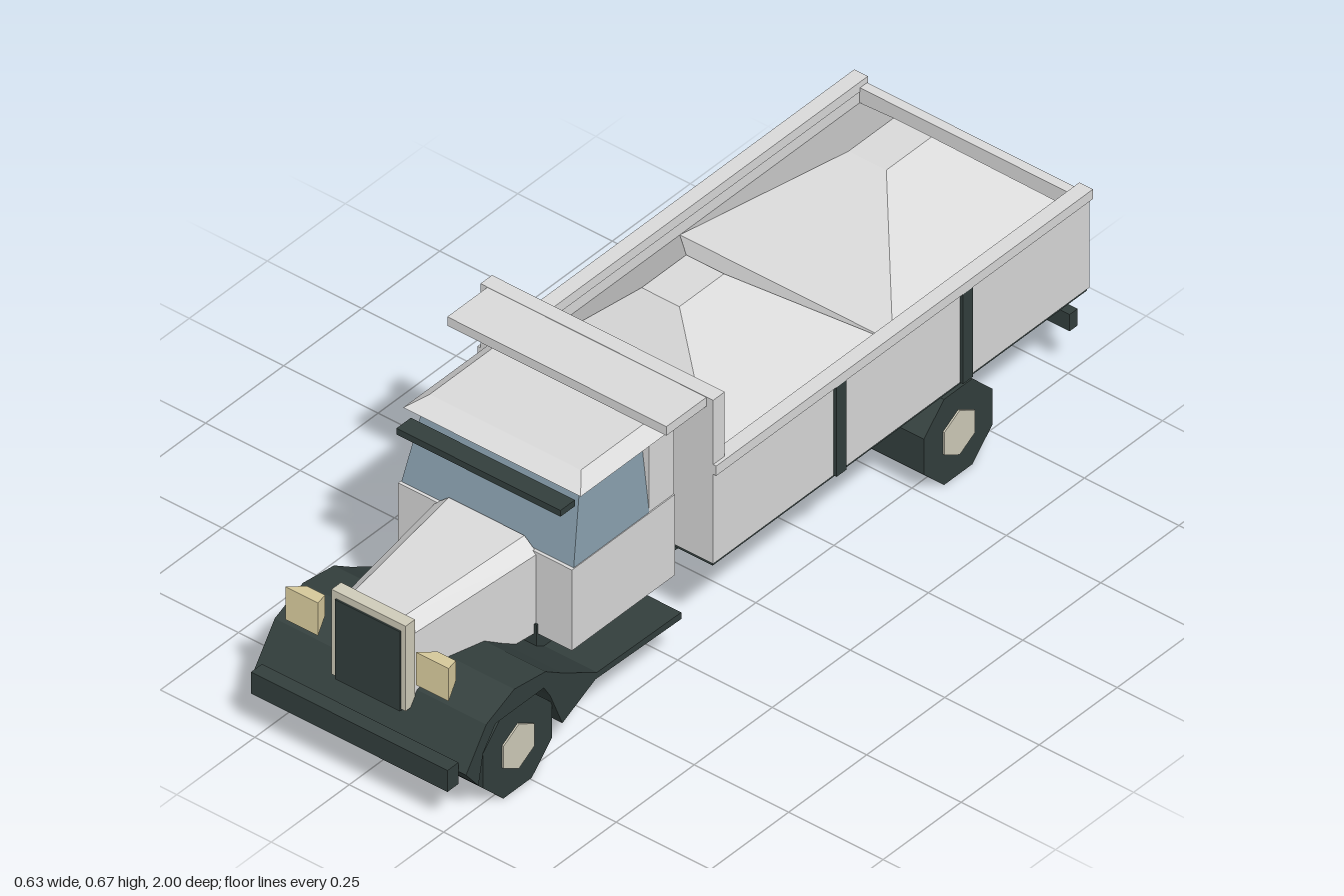
import * as THREE from 'three';

const mat = (name, color) => {
  const m = new THREE.MeshStandardMaterial({ color });
  m.name = name;
  return m;
};

// Solid between two matching loops, counterclockwise as seen from beyond loop b
function loft(a, b) {
  const pos = [];
  const tri = (...p) => p.forEach((v) => pos.push(...v));
  const n = a.length;
  for (let i = 0; i < n; i++) {
    const j = (i + 1) % n;
    tri(a[i], a[j], b[j]);
    tri(a[i], b[j], b[i]);
  }
  for (let i = 1; i < n - 1; i++) {
    tri(a[0], a[i + 1], a[i]);
    tri(b[0], b[i], b[i + 1]);
  }
  const g = new THREE.BufferGeometry();
  g.setAttribute('position', new THREE.Float32BufferAttribute(pos, 3));
  g.computeVertexNormals();
  return g;
}

// Horizontal rectangle at height y, half width w, from zBack to zFront
const level = (y, w, zBack, zFront) =>
  [[-w, y, zFront], [w, y, zFront], [w, y, zBack], [-w, y, zBack]];

export function createModel() {
  const truck = new THREE.Group();
  truck.name = 'dumpTruck';
  const paint = mat('light grey paint', 0xdadada);
  const dark = mat('dark trim', 0x333f3d);
  const glass = mat('blue glass', 0x879dab);
  const cream = mat('lamp cream', 0xe2d4a4);
  const metal = mat('pale metal', 0xd0ccba);

  const add = (name, geo, material) => {
    const m = new THREE.Mesh(geo, material);
    m.name = name;
    truck.add(m);
    return m;
  };
  // Box given by its limits
  const box = (name, material, x0, x1, y0, y1, z0, z1) => {
    const g = new THREE.BoxGeometry(x1 - x0, y1 - y0, z1 - z0);
    g.translate((x0 + x1) / 2, (y0 + y1) / 2, (z0 + z1) / 2);
    return add(name, g, material);
  };
  const wide = (name, material, w, ...yz) => box(name, material, -w, w, ...yz);
  // Box mirrored to both sides
  const pair = (name, material, x0, x1, ...yz) => {
    box(name + 'Left', material, x0, x1, ...yz);
    box(name + 'Right', material, -x1, -x0, ...yz);
  };

  // Chassis and bumpers
  wide('chassis', dark, 0.14, 0.155, 0.225, -0.975, 0.57);
  wide('frontBumper', dark, 0.26, 0.108, 0.163, 0.965, 1.0);
  wide('rearBumper', dark, 0.275, 0.135, 0.178, -1.0, -0.975);
  pair('tailLamp', cream, 0.215, 0.25, 0.178, 0.215, -0.995, -0.975);

  // Fenders and running boards, one profile swept across the width
  const profile = [
    [0.965, 0.14], [0.9, 0.232], [0.81, 0.27], [0.71, 0.256], [0.655, 0.22],
    [0.545, 0.157], [0.275, 0.152], [0.275, 0.135], [0.55, 0.142], [0.656, 0.092],
    [0.695, 0.185], [0.715, 0.217], [0.87, 0.217], [0.91, 0.165], [0.925, 0.09],
  ];
  const fender = new THREE.ExtrudeGeometry(
    new THREE.Shape(profile.map(([z, y]) => new THREE.Vector2(z, y))),
    { depth: 0.56, bevelEnabled: false });
  fender.rotateY(-Math.PI / 2).translate(0.28, 0, 0);
  add('fenders', fender, dark);

  // Wheels
  const roller = (name, r, sides, half, z, material) => {
    const g = new THREE.CylinderGeometry(r, r, half * 2, sides);
    g.rotateY(Math.PI / sides).rotateZ(Math.PI / 2).translate(0, 0.11, z);
    const flat = g.toNonIndexed();
    flat.computeVertexNormals();
    add(name, flat, material);
  };
  for (const [name, z, half] of [['front', 0.79, 0.272], ['rear', -0.595, 0.294]]) {
    roller(name + 'Wheels', 0.119, 8, half, z, dark);
    roller(name + 'Hubs', 0.057, 6, half + 0.004, z, metal);
  }

  // Hood with chamfered top, narrowing towards the grille
  const hoodLoop = (z, w, t, edge, top) => [
    [-w, 0.2, z], [w, 0.2, z], [w, edge, z], [t, top, z], [-t, top, z], [-w, edge, z]];
  add('hood', loft(hoodLoop(0.56, 0.135, 0.1, 0.4, 0.43),
    hoodLoop(0.915, 0.095, 0.065, 0.38, 0.408)), paint);

  // Grille
  wide('grilleFrame', metal, 0.098, 0.2, 0.418, 0.908, 0.938);
  wide('grille', dark, 0.086, 0.196, 0.4, 0.934, 0.942);

  // Headlamps, wider at the front
  const lampLoop = (x, w, h, z) =>
    [[x - w, 0.328 - h, z], [x + w, 0.328 - h, z], [x + w, 0.328 + h, z], [x - w, 0.328 + h, z]];
  for (const [side, s] of [['Left', 1], ['Right', -1]]) {
    add('headlamp' + side, loft(lampLoop(s * 0.173, 0.024, 0.026, 0.897),
      lampLoop(s * 0.173, 0.043, 0.042, 0.943)), cream);
  }

  // Cab
  wide('cabBody', paint, 0.23, 0.2, 0.407, 0.235, 0.565);
  add('cabWindows', loft(level(0.407, 0.228, 0.315, 0.557),
    level(0.585, 0.207, 0.315, 0.512)), glass);
  wide('cabRear', paint, 0.227, 0.407, 0.585, 0.235, 0.315);
  add('cabRoof', loft(level(0.585, 0.235, 0.235, 0.543),
    level(0.611, 0.2, 0.25, 0.5)), paint);
  wide('sunVisor', dark, 0.217, 0.55, 0.566, 0.54, 0.586);

  // Dump bed
  wide('bedUnderside', dark, 0.305, 0.243, 0.25, -0.995, 0.205);
  wide('headboard', paint, 0.308, 0.25, 0.67, 0.17, 0.207);
  wide('cabGuard', paint, 0.29, 0.646, 0.669, 0.2, 0.335);
  wide('tailgate', paint, 0.308, 0.25, 0.49, -0.998, -0.975);
  pair('bedWall', paint, 0.282, 0.308, 0.25, 0.482, -0.998, 0.175);
  pair('bedRail', paint, 0.28, 0.316, 0.48, 0.505, -1.0, 0.207);
  for (const z of [-0.195, -0.6]) {
    pair('bedStake', dark, 0.305, 0.316, 0.25, 0.48, z - 0.016, z + 0.016);
  }

  // Load: two heaps
  add('frontHeap', loft(level(0.45, 0.282, -0.4, 0.17),
    level(0.665, 0.05, -0.14, 0.003)), paint);
  add('rearHeap', loft(level(0.45, 0.282, -0.977, -0.4),
    level(0.625, 0.05, -0.805, -0.66)), paint);

  return truck;
}
